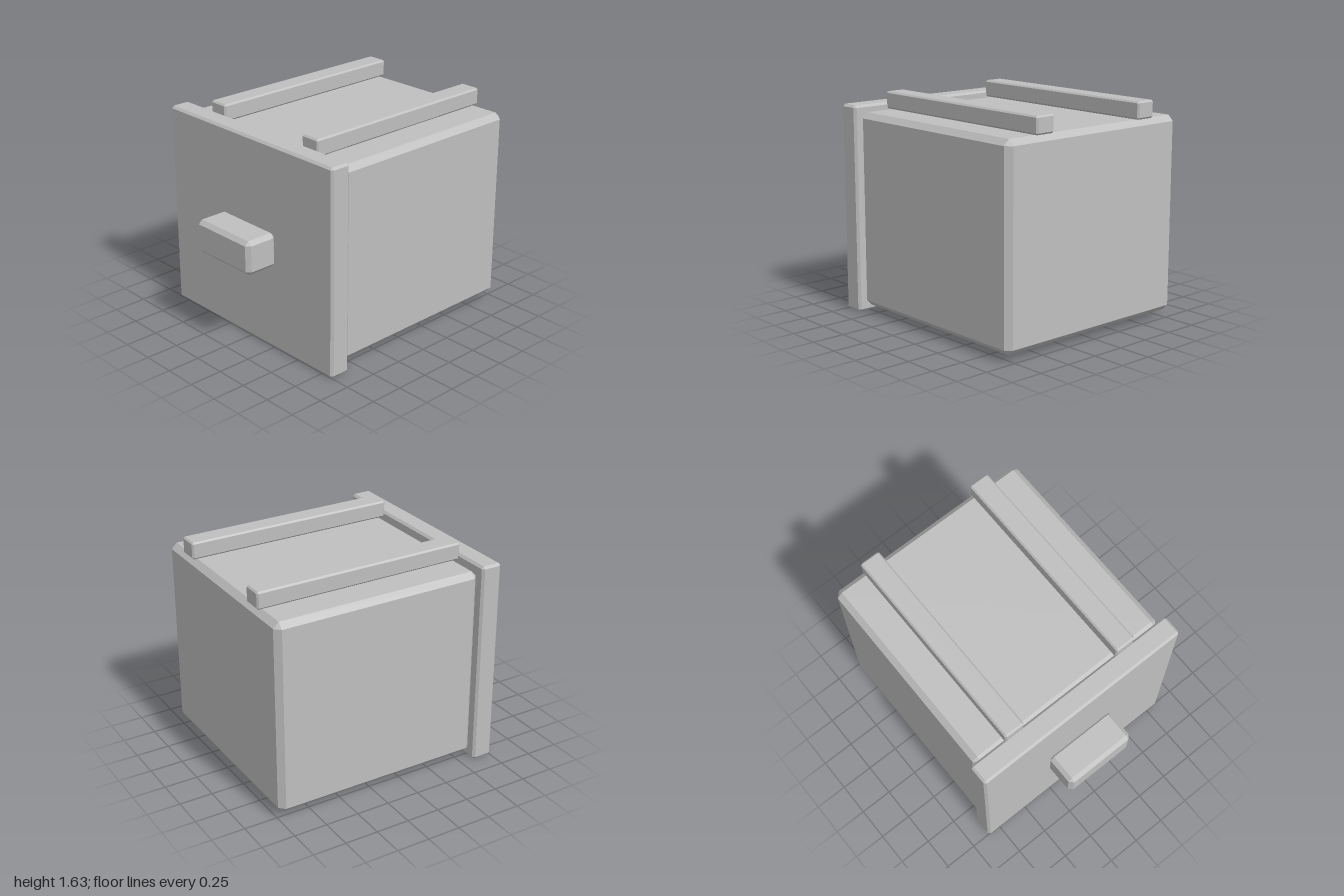
import * as THREE from 'three';
import { ConvexGeometry } from 'three/addons/geometries/ConvexGeometry.js';

// Box between two corners with every edge chamfered by c
function chamferedBox(min, max, c) {
  const centre = min.map((v, i) => (v + max[i]) / 2);
  const half = min.map((v, i) => (max[i] - v) / 2);
  const points = [];
  for (const sx of [-1, 1]) for (const sy of [-1, 1]) for (const sz of [-1, 1]) {
    const signs = [sx, sy, sz];
    for (let face = 0; face < 3; face++) {
      const p = signs.map((s, i) => s * (half[i] - (i === face ? 0 : c)));
      points.push(new THREE.Vector3(...p));
    }
  }
  const geometry = new ConvexGeometry(points);
  geometry.translate(...centre);
  return geometry;
}

export function createModel() {
  const group = new THREE.Group();
  const grey = new THREE.MeshStandardMaterial({ color: 0xbfbfbf });
  grey.name = 'lightGrey';

  const add = (name, min, max, chamfer) => {
    const mesh = new THREE.Mesh(chamferedBox(min, max, chamfer), grey);
    mesh.name = name;
    group.add(mesh);
  };

  // Drawer box, front panel and pull
  add('drawerBody', [-0.81, 0.05, -1], [0.81, 1.5, 0.605], 0.042);
  add('frontPanel', [-0.855, 0, 0.598], [0.855, 1.55, 0.757], 0.017);
  add('handle', [-0.282, 0.65, 0.74], [0.282, 0.905, 1], 0.03);

  // Pair of runners along the top
  for (const side of [-1, 1]) {
    const x = side * 0.483;
    add(side > 0 ? 'leftRail' : 'rightRail', [x - 0.079, 1.502, -1], [x + 0.079, 1.63, 0.613], 0.012);
  }
  return group;
}
